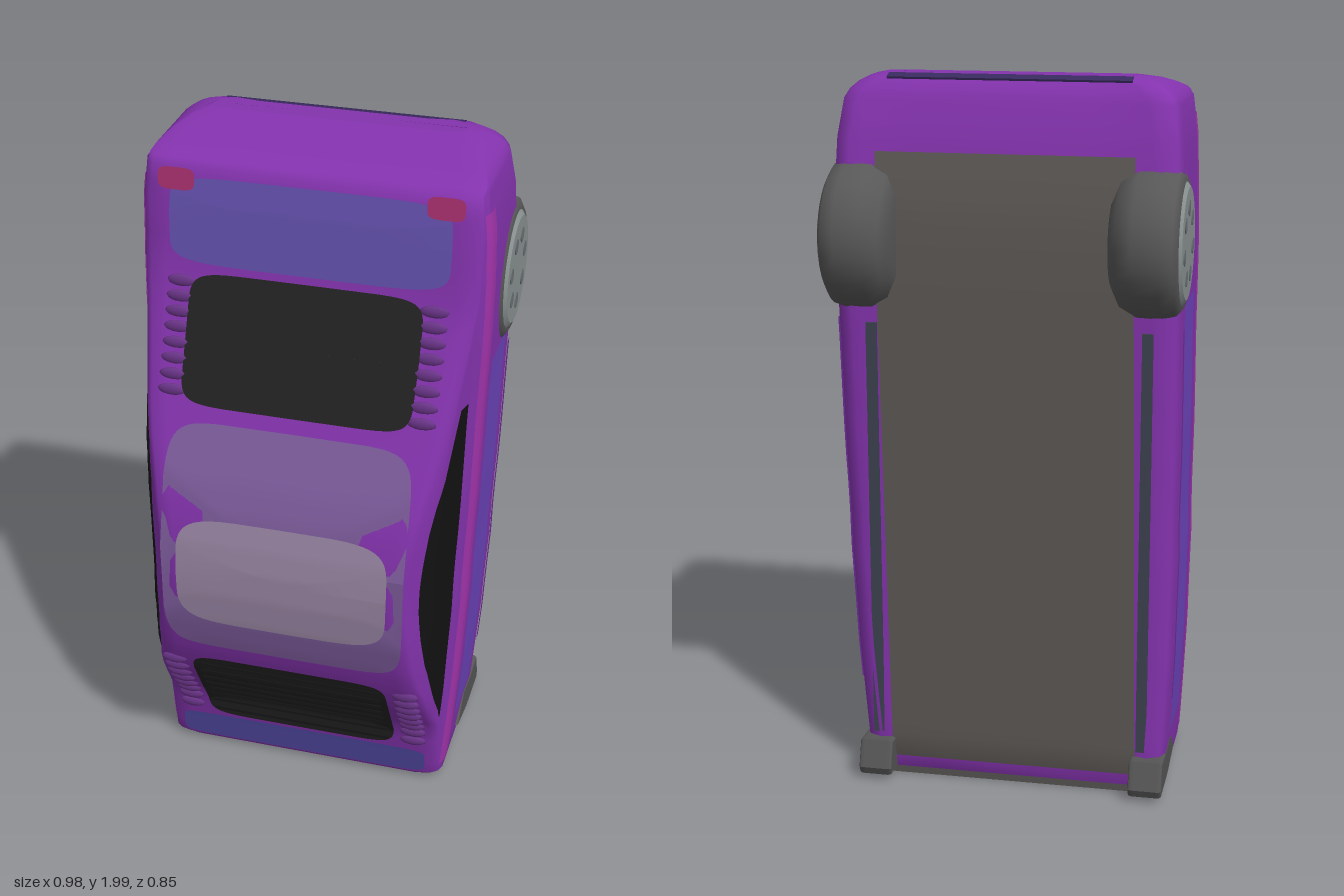
import * as THREE from 'three';

// Body stations along the height: y, back z, front z, half width
const STATIONS = [
  [0.012, -0.27, 0.13, 0.405], [0.03, -0.3, 0.145, 0.425], [0.12, -0.31, 0.165, 0.432],
  [0.24, -0.31, 0.195, 0.44], [0.32, -0.31, 0.25, 0.445], [0.4, -0.31, 0.3, 0.45],
  [0.5, -0.31, 0.348, 0.453], [0.58, -0.31, 0.377, 0.456], [0.68, -0.31, 0.402, 0.46],
  [0.78, -0.31, 0.416, 0.46], [0.87, -0.31, 0.419, 0.462], [0.95, -0.31, 0.413, 0.465],
  [1.04, -0.31, 0.398, 0.467], [1.12, -0.31, 0.375, 0.468], [1.3, -0.31, 0.3, 0.47],
  [1.5, -0.31, 0.222, 0.475], [1.65, -0.305, 0.175, 0.475], [1.83, -0.275, 0.16, 0.47],
  [1.93, -0.245, 0.147, 0.457], [1.955, -0.235, 0.09, 0.443], [1.975, -0.222, 0.01, 0.42],
  [1.99, -0.21, -0.05, 0.39], [2.0, -0.185, -0.1, 0.35],
];
// Sides lean in towards the roof: z, width factor
const TAPER = [[-1, 1], [0.1, 1], [0.16, 0.95], [0.2, 0.925], [0.3, 0.88], [0.38, 0.79], [0.42, 0.72]];

function sample(table, t, col) {
  let i = 0;
  while (i < table.length - 2 && t > table[i + 1][0]) i++;
  const a = table[i], b = table[i + 1];
  const k = THREE.MathUtils.clamp((t - a[0]) / (b[0] - a[0]), 0, 1);
  return a[col] + (b[col] - a[col]) * k;
}
const backZ = y => sample(STATIONS, y, 1);
const frontZ = y => sample(STATIONS, y, 2);
const sideX = (y, z) => sample(STATIONS, y, 3) * sample(TAPER, z, 1);
const centreX = y => -0.028 * (1 - Math.min(1, y / 1.7));

function add(parent, name, geometry, color, twoSided = false) {
  const material = new THREE.MeshStandardMaterial({ color });
  if (twoSided) material.side = THREE.DoubleSide;
  const mesh = new THREE.Mesh(geometry, material);
  mesh.name = name;
  parent.add(mesh);
  return mesh;
}

function indexed(positions, index) {
  const g = new THREE.BufferGeometry();
  g.setAttribute('position', new THREE.Float32BufferAttribute(positions, 3));
  g.setIndex(index);
  g.computeVertexNormals();
  return g;
}

// One closed horizontal section of the body, floor slightly sunk between the sills
function section(y) {
  const zb = backZ(y), zf = frontZ(y), w = sideX(y, 0);
  const half = [[w * 0.5, zb + 0.01], [w - 0.08, zb + 0.01], [w - 0.05, zb], [w - 0.012, zb + 0.02], [w, zb + 0.06]];
  const z0 = Math.min(0.1, zf - 0.04), z1 = zf - 0.02;
  for (let i = 0; i <= 6; i++) {
    const z = z0 + (z1 - z0) * i / 6;
    half.push([sideX(y, z), z]);
  }
  const x = sideX(y, z1);
  half.push([x * 0.96, zf - 0.007], [x * 0.86, zf], [x * 0.4, zf]);
  return [...half, ...half.slice().reverse().map(([px, pz]) => [-px, pz])];
}

function bodyGeometry() {
  const ys = [];
  STATIONS.forEach(([y], i) => {
    if (i) ys.push((y + STATIONS[i - 1][0]) / 2);
    ys.push(y);
  });
  const pos = [], index = [];
  let n = 0;
  const ring = y => {
    const s = section(y);
    n = s.length;
    s.forEach(([x, z]) => pos.push(x + centreX(y), y, z));
  };
  ys.forEach(ring);
  for (let r = 0; r < ys.length - 1; r++) for (let j = 0; j < n; j++) {
    const a = r * n + j, b = r * n + (j + 1) % n;
    index.push(a, a + n, b + n, a, b + n, b);
  }
  // end caps
  [0, ys.length - 1].forEach((r, top) => {
    const y = ys[r], start = pos.length / 3;
    ring(y);
    pos.push(centreX(y), y, (backZ(y) + frontZ(y)) / 2);
    const c = start + n;
    for (let j = 0; j < n; j++) {
      const a = start + j, b = start + (j + 1) % n;
      if (top) index.push(c, b, a); else index.push(c, a, b);
    }
  });
  return indexed(pos, index);
}

// Grid surface from a rule (u, v) -> [x, y, z]
function patch(fn, nu, nv) {
  const pos = [], index = [];
  for (let i = 0; i <= nu; i++) for (let j = 0; j <= nv; j++) pos.push(...fn(i / nu, j / nv));
  for (let i = 0; i < nu; i++) for (let j = 0; j < nv; j++) {
    const a = i * (nv + 1) + j, b = a + nv + 1;
    index.push(a, b, b + 1, a, b + 1, a + 1);
  }
  return indexed(pos, index);
}

// Rounded panel lying on the hood, glass or roof
function frontPanel(y0, y1, halfW, power, lift = 0.006, x0 = 0) {
  const corner = v => Math.sign(v) * Math.pow(Math.abs(v), 2 / power);
  return patch((u, v) => {
    const a = u * Math.PI * 2;
    const y = (y0 + y1) / 2 + corner(Math.sin(a)) * v * (y1 - y0) / 2;
    return [x0 + centreX(y) + corner(Math.cos(a)) * v * halfW, y, frontZ(y) + lift];
  }, 48, 12);
}

// Panel lying on one flank, z limits given as functions of y
function sidePanel(side, y0, y1, zLow, zHigh, lift) {
  return patch((u, v) => {
    const y = y0 + (y1 - y0) * u;
    const z = zLow(y) + (zHigh(y) - zLow(y)) * v;
    return [centreX(y) + side * (sideX(y, z) + lift), y, z];
  }, 30, 8);
}

function wheel(side) {
  const g = new THREE.Group();
  g.name = side > 0 ? 'leftWheel' : 'rightWheel';
  const tyre = [[0, -0.1], [0.13, -0.1], [0.18, -0.075], [0.203, -0.03], [0.206, 0.04],
    [0.195, 0.076], [0.17, 0.09], [0.155, 0.084], [0, 0.084]].map(p => new THREE.Vector2(...p));
  add(g, 'tyre', new THREE.LatheGeometry(tyre, 32), 0x585858);
  const hub = add(g, 'hubDisc', new THREE.CylinderGeometry(0.15, 0.17, 0.014, 24), 0x8a9292);
  hub.position.y = 0.09;
  for (let i = 0; i < 7; i++) {
    const a = i / 7 * Math.PI * 2;
    const hole = add(g, 'hubRecess', new THREE.CylinderGeometry(0.022, 0.022, 0.004, 12), 0x6a7274);
    hole.position.set(Math.cos(a) * 0.095, 0.097, Math.sin(a) * 0.095);
  }
  g.rotation.z = -side * Math.PI / 2;
  g.position.set(side * 0.39, 1.57, -0.222);
  return g;
}

export function createModel() {
  const car = new THREE.Group();
  car.name = 'car';
  add(car, 'body', bodyGeometry(), 0x8433ae);

  // hood, roof and glass
  add(car, 'hood', frontPanel(1.67, 1.91, 0.38, 6, 0.003), 0x6552b0, true);
  add(car, 'windshield', frontPanel(1.31, 1.65, 0.32, 8), 0x222222, true);
  add(car, 'roofSkin', frontPanel(0.56, 1.27, 0.345, 8, 0.002), 0x7d5c9c, true);
  add(car, 'roofPanel', frontPanel(0.67, 1.02, 0.3, 5, 0.005), 0x9a86a4, true);
  add(car, 'rearGlass', frontPanel(0.15, 0.5, 0.29, 8), 0x222222, true);
  add(car, 'tailPanel', frontPanel(0.035, 0.135, 0.38, 8, 0.003), 0x5149a4, true);

  // rear louvre slats, and ribs along the glass pillars
  for (let i = 0; i < 8; i++) {
    const y = 0.18 + i * 0.04;
    const slat = add(car, 'louvreSlat', new THREE.BoxGeometry(0.54, 0.008, 0.01), 0x151515);
    slat.position.set(centreX(y), y, frontZ(y) + 0.006);
    for (const s of [-1, 1]) for (const ribY of [y, y + 1.16]) {
      const rib = add(car, 'pillarRib', new THREE.SphereGeometry(1, 12, 8), 0x6a3488);
      rib.scale.set(0.04, 0.018, 0.01);
      rib.position.set(centreX(ribY) + s * 0.345, ribY, frontZ(ribY) - 0.001);
    }
  }

  for (const s of [-1, 1]) {
    const side = s > 0 ? 'left' : 'right';
    // flank glass, shoulder line, door skin and sill
    add(car, side + 'SideWindow', sidePanel(s, 0.29, 1.36, () => 0.18,
      y => Math.max(0.185, frontZ(y) - 0.055), 0.006), 0x121212, true);
    add(car, side + 'Shoulder', sidePanel(s, 0.06, 1.88, () => 0.06, () => 0.13, 0.003), 0xa234ac, true);
    add(car, side + 'DoorSkin', sidePanel(s, 0.16, 1.4, () => -0.19, () => 0.01, 0.002), 0x6c44bc, true);
    add(car, side + 'SillTrim', sidePanel(s, 0.28, 1.34, () => -0.25, () => -0.225, 0.005), 0x6e2c98, true);
    add(car, side + 'NoseLamp', frontPanel(1.87, 1.93, 0.05, 4, 0.006, s * 0.36), 0xa83070, true);
    const groove = add(car, side + 'UndersideGroove', new THREE.BoxGeometry(0.03, 1.2, 0.008), 0x3c4250);
    groove.position.set(s * 0.378 - 0.016, 0.74, -0.304);

    car.add(wheel(s));

    // low wedge at the rear corner
    const outline = new THREE.Shape([[0.07, 0.06], [0.2, 0.035], [0.35, 0.033], [0.358, 0.05], [0.335, 0.12],
      [0.24, 0.115], [0.15, 0.125], [0.11, 0.1]].map(p => new THREE.Vector2(...p)));
    const wedge = add(car, side + 'RearWedge', new THREE.ExtrudeGeometry(outline,
      { depth: 0.07, bevelEnabled: true, bevelSize: 0.006, bevelThickness: 0.012, bevelSegments: 3 }), 0x565656);
    wedge.rotation.y = Math.PI / 2;
    wedge.position.x = s * 0.387 - 0.025 - 0.035;
  }

  // underside floor, rear apron and nose groove
  add(car, 'floor', patch((u, v) => {
    const y = 0.02 + 1.78 * u;
    return [centreX(y) + (v - 0.5) * 0.7, y, backZ(y) + 0.006];
  }, 30, 4), 0x5c5855, true);
  const apron = add(car, 'rearApron', new THREE.BoxGeometry(0.78, 0.03, 0.1), 0x555250);
  apron.position.set(-0.028, 0.025, -0.24);
  const noseGroove = add(car, 'noseGroove', new THREE.BoxGeometry(0.66, 0.006, 0.026), 0x3a2a60);
  noseGroove.position.set(0, 1.993, -0.2);
  noseGroove.rotation.x = -0.38;
  return car;
}
